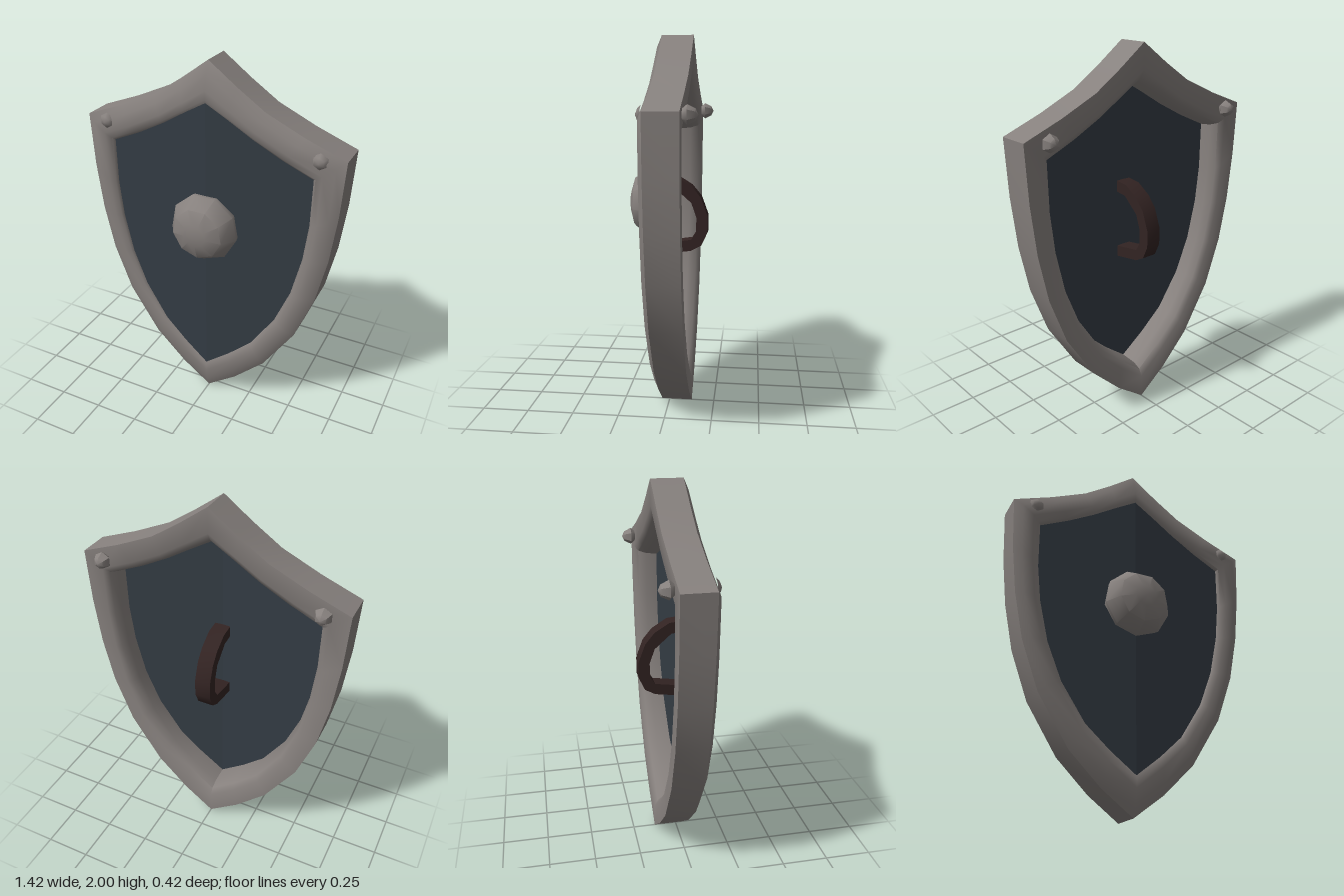
import * as THREE from 'three';
import { toCreasedNormals } from 'three/addons/utils/BufferGeometryUtils.js';

// Half outlines, top tip to bottom tip: [outer x, outer y, inner x, inner y]
const HALF = [
  [0, 2.0, 0, 1.8], [0.15, 1.89, 0.12, 1.73], [0.3, 1.79, 0.25, 1.65],
  [0.5, 1.7, 0.4, 1.57], [0.71, 1.62, 0.555, 1.5], [0.695, 1.33, 0.552, 1.25],
  [0.665, 1.07, 0.53, 1.05], [0.612, 0.82, 0.48, 0.83], [0.515, 0.56, 0.4, 0.63],
  [0.345, 0.295, 0.27, 0.43], [0.17, 0.125, 0.14, 0.31], [0, 0, 0, 0.2],
];

// Rim section: [blend from outer to inner outline, z]
const SECTION = [
  [0, -0.125], [0, 0.042], [0.3, 0.066], [0.7, 0.068], [0.92, 0.054],
  [1, 0.04], [1, 0], [0.96, -0.06], [0.85, -0.105], [0.65, -0.125],
];

// The shield bows forward towards its vertical centre line
const bow = (x) => 0.036 * (1 - Math.abs(x) / 0.555);

function makeGeometry(positions, index, crease) {
  const g = new THREE.BufferGeometry();
  g.setAttribute('position', new THREE.Float32BufferAttribute(positions, 3));
  g.setIndex(index);
  return toCreasedNormals(g, crease);
}

function rimGeometry() {
  const left = HALF.slice(1, -1).reverse().map(([a, b, c, d]) => [-a, b, -c, d]);
  const loop = [...HALF, ...left];
  const n = loop.length, m = SECTION.length;
  const positions = [], index = [];
  for (const [ox, oy, ix, iy] of loop) {
    for (const [t, z] of SECTION) {
      const lift = z > -0.02 ? bow(ix) * t ** 3 : 0;
      positions.push(ox + (ix - ox) * t, oy + (iy - oy) * t, z + lift);
    }
  }
  for (let i = 0; i < n; i++) {
    const j = (i + 1) % n;
    for (let k = 0; k < m; k++) {
      const l = (k + 1) % m;
      index.push(i * m + k, i * m + l, j * m + k, j * m + k, i * m + l, j * m + l);
    }
  }
  return makeGeometry(positions, index, 0.85);
}

// Bowed panel face with a vertical ridge; side is 1 for front, -1 for back
function panelGeometry(z, side) {
  const positions = [], index = [];
  for (const [, , x, y] of HALF) {
    positions.push(-x, y, z + bow(x), 0, y, z + bow(0), x, y, z + bow(x));
  }
  for (let i = 0; i < HALF.length - 1; i++) {
    for (let c = 0; c < 2; c++) {
      const a = i * 3 + c, b = a + 1, d = a + 3, e = a + 4;
      if (side > 0) index.push(a, d, b, b, d, e);
      else index.push(a, b, d, b, e, d);
    }
  }
  return makeGeometry(positions, index, 0.1);
}

// Faceted round part whose axis points along +z
function studGeometry(profile, sides, crease) {
  const g = new THREE.LatheGeometry(profile.map(([r, h]) => new THREE.Vector2(r, h)), sides);
  return toCreasedNormals(g.rotateX(Math.PI / 2), crease);
}

export function createModel() {
  const group = new THREE.Group();
  const metal = new THREE.MeshStandardMaterial({ color: 0x87817e });
  metal.name = 'grey metal';
  const blue = new THREE.MeshStandardMaterial({ color: 0x343c44 });
  blue.name = 'dark blue panel';
  const leather = new THREE.MeshStandardMaterial({ color: 0x322322 });
  leather.name = 'dark brown leather';

  const add = (name, geometry, material, x = 0, y = 0, z = 0) => {
    const mesh = new THREE.Mesh(geometry, material);
    mesh.name = name;
    mesh.position.set(x, y, z);
    group.add(mesh);
    return mesh;
  };

  add('rim', rimGeometry(), metal);
  add('frontPanel', panelGeometry(0.04, 1), blue);
  add('backPanel', panelGeometry(0, -1), blue);

  // Domed boss in the middle of the front
  const boss = studGeometry(
    [[0.18, 0], [0.19, 0.045], [0.14, 0.125], [0.06, 0.15], [0, 0.155]], 9, 0.8);
  add('boss', boss, metal, 0, 1.13, 0.055);

  // Corner rivets: low bumps in front, pointed heads behind
  const bump = studGeometry([[0.045, 0], [0.026, 0.018], [0, 0.028]], 6, 1);
  const head = studGeometry([[0.026, 0], [0.046, 0.025], [0.028, 0.062], [0, 0.075]], 6, 0.9);
  for (const s of [1, -1]) {
    add(s > 0 ? 'leftRivetFront' : 'rightRivetFront', bump, metal, s * 0.585, 1.605, 0.06);
    add(s > 0 ? 'leftRivetBack' : 'rightRivetBack', head, metal, s * 0.585, 1.605, -0.122)
      .rotation.y = Math.PI;
  }

  // Curved grip: side outline (depth behind the shield, height) extruded across x
  const grip = new THREE.Shape([
    [-0.05, 1.28], [0.04, 1.27], [0.12, 1.22], [0.17, 1.16], [0.207, 1.06], [0.207, 0.97],
    [0.175, 0.9], [0.12, 0.87], [-0.05, 0.845], [-0.05, 0.905], [0.12, 0.93], [0.145, 0.97],
    [0.148, 1.05], [0.12, 1.13], [0.03, 1.21], [-0.05, 1.22],
  ].map(([d, y]) => new THREE.Vector2(d, y)));
  const gripGeometry = new THREE.ExtrudeGeometry(grip, { depth: 0.086, bevelEnabled: false });
  gripGeometry.translate(0, 0, -0.043).rotateY(Math.PI / 2);
  add('handle', toCreasedNormals(gripGeometry, 0.7), leather);

  return group;
}
